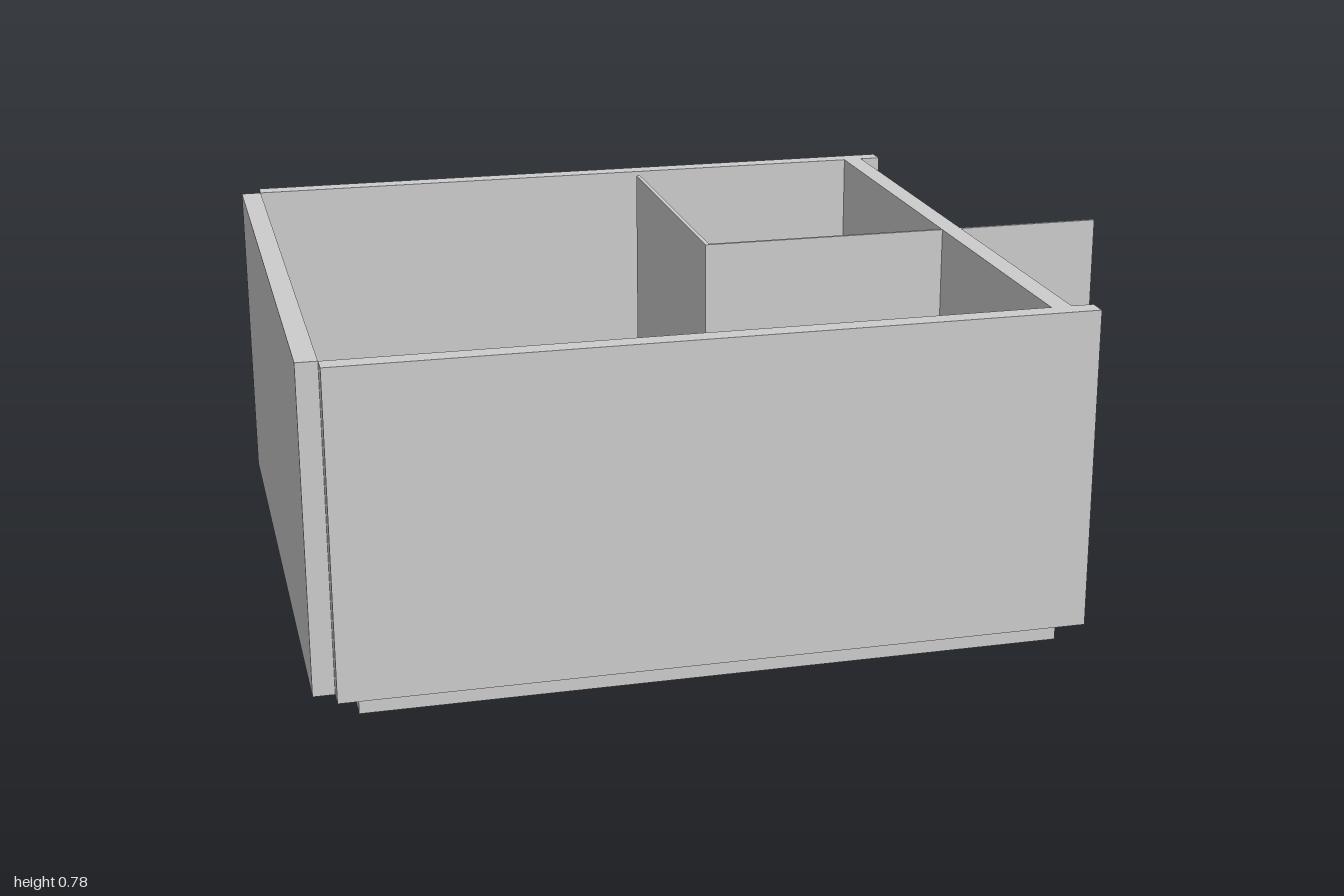
import * as THREE from 'three';

const grey = new THREE.MeshStandardMaterial({ color: 0xcccccc });
grey.name = 'plain grey';

const FLOOR = 0.05, TOP = 0.78;

// Box given by its lower and upper limits on each axis
function block(name, x0, x1, y0, y1, z0, z1) {
  const mesh = new THREE.Mesh(new THREE.BoxGeometry(x1 - x0, y1 - y0, z1 - z0), grey);
  mesh.position.set((x0 + x1) / 2, (y0 + y1) / 2, (z0 + z1) / 2);
  mesh.name = name;
  return mesh;
}

// Four square legs, inset from the edges of a w by d rectangle
function addLegs(group, name, w, d, y1, size, inset) {
  for (const sx of [-1, 1]) for (const sz of [-1, 1]) {
    const x = sx * (w / 2 - inset - size / 2), z = sz * (d / 2 - inset - size / 2);
    group.add(block(name, x - size / 2, x + size / 2, FLOOR, y1, z - size / 2, z + size / 2));
  }
}

function table(name, x, z, w, d) {
  const g = new THREE.Group();
  g.name = name;
  g.add(block('tableTop', -w / 2, w / 2, 0.222, 0.232, -d / 2, d / 2));
  addLegs(g, 'tableLeg', w, d, 0.222, 0.013, 0.012);
  g.position.set(x, 0, z);
  return g;
}

// Chair with its backrest on the -x side
function chair(x, z) {
  const g = new THREE.Group();
  const h = 0.054;
  g.name = 'chair';
  g.add(block('seat', -h, h, 0.162, 0.169, -h, h));
  g.add(block('backrest', -h, -h + 0.005, 0.169, 0.269, -h, h));
  addLegs(g, 'chairLeg', 2 * h, 2 * h, 0.162, 0.008, 0);
  g.position.set(x, 0, z);
  return g;
}

export function createModel() {
  const model = new THREE.Group();
  model.name = 'room';

  // Floor slab and outer walls
  model.add(
    block('floor', -0.905, 0.655, 0, FLOOR, -0.732, 0.732),
    block('frontWall', -0.953, 0.705, FLOOR, TOP, 0.732, 0.778),
    block('backWall', -0.953, 0.705, FLOOR, TOP, -0.778, -0.732),
    block('rightWall', -1, -0.953, FLOOR, TOP, -0.732, 0.732),
    block('leftWall', 0.608, 0.655, FLOOR, TOP, -0.732, 0.732)
  );

  // Thin partitions around the meeting corner
  model.add(
    block('sidePartition', 0.02, 0.03, FLOOR, TOP, -0.684, 0.039),
    block('longPartition', 0.02, 1, FLOOR, TOP, 0.039, 0.047)
  );

  // Meeting table with three chairs on each long side
  model.add(table('meetingTable', 0.511, -0.32, 0.605, 0.29));
  for (const x of [0.382, 0.566, 0.75])
    for (const z of [-0.543, -0.103]) model.add(chair(x, z));

  // Four desks, each with one chair
  for (const x of [-0.587, 0.022])
    for (const z of [-0.196, 0.293]) {
      model.add(table('desk', x, z, 0.342, 0.166));
      model.add(chair(x - 0.006, z + 0.176));
    }
  return model;
}
